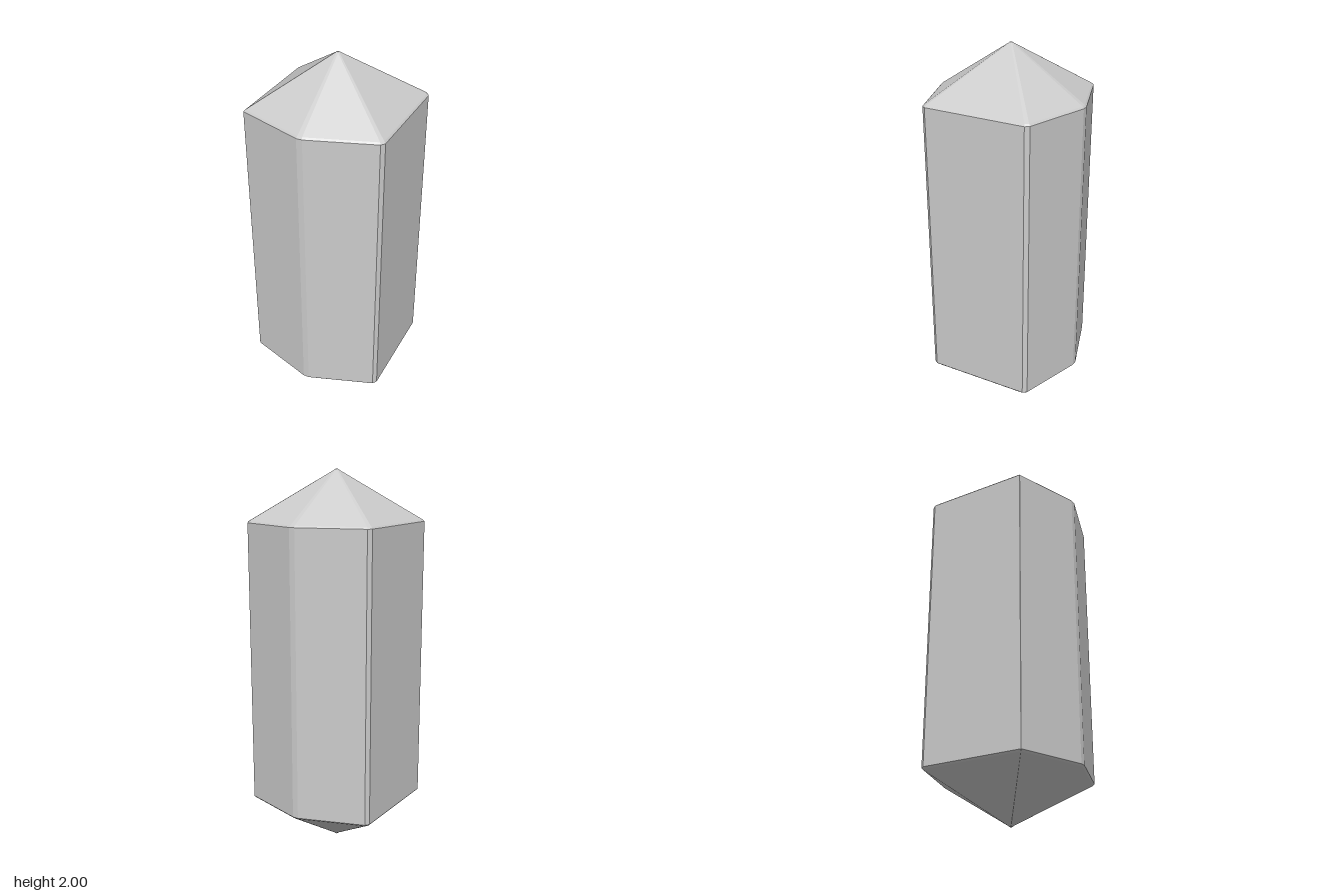
import * as THREE from 'three';

// Six-sided outline, counter-clockwise seen from above: [x, z, bevelled]
const corners = [
  [0, 0.405, 1], [0.365, 0.284, 1], [0.365, -0.284, 1],
  [0, -0.405, 1], [-0.365, -0.284, 1], [-0.365, 0.277, 0],
];

// One horizontal cross-section; every bevelled corner is cut by width w
function ring(y, scale, w) {
  const points = [];
  corners.forEach(([x, z, bevelled], i) => {
    const v = new THREE.Vector2(x, z);
    for (const step of [-1, 1]) {
      const [nx, nz] = corners[(i + step + 6) % 6];
      const toward = new THREE.Vector2(nx, nz).sub(v).normalize();
      const p = v.clone().multiplyScalar(scale).addScaledVector(toward, bevelled ? w : w * 0.05);
      points.push(new THREE.Vector3(p.x, y, p.y));
    }
  });
  return points;
}

// Skin a stack of rings from bottom to top and close both ends
function loft(rings) {
  const pos = [];
  const tri = (...pts) => pts.forEach((p) => pos.push(p.x, p.y, p.z));
  const n = rings[0].length;
  for (let r = 0; r < rings.length - 1; r++) {
    for (let i = 0; i < n; i++) {
      const j = (i + 1) % n;
      const [a, b, c, d] = [rings[r][i], rings[r][j], rings[r + 1][j], rings[r + 1][i]];
      tri(a, b, c);
      tri(a, c, d);
    }
  }
  const low = rings[0], high = rings[rings.length - 1];
  for (let i = 1; i < n - 1; i++) {
    tri(low[0], low[i + 1], low[i]);
    tri(high[0], high[i], high[i + 1]);
  }
  const geometry = new THREE.BufferGeometry();
  geometry.setAttribute('position', new THREE.Float32BufferAttribute(pos, 3));
  geometry.computeVertexNormals();
  return geometry;
}

export function createModel() {
  const group = new THREE.Group();
  group.name = 'crystal';
  const material = new THREE.MeshStandardMaterial({ color: 0xcccccc, flatShading: true });

  // Bevelled prism with a pointed pyramid at each end
  const geometry = loft([
    ring(0, 0.02, 0.003),
    ring(0.006, 0.035, 0.005),
    ring(0.241, 0.978, 0.013),
    ring(0.25, 1, 0.016),
    ring(1.735, 1, 0.016),
    ring(1.744, 0.978, 0.013),
    ring(1.994, 0.035, 0.005),
    ring(2, 0.015, 0.002),
  ]);
  const shard = new THREE.Mesh(geometry, material);
  shard.name = 'crystalShard';
  group.add(shard);
  return group;
}
